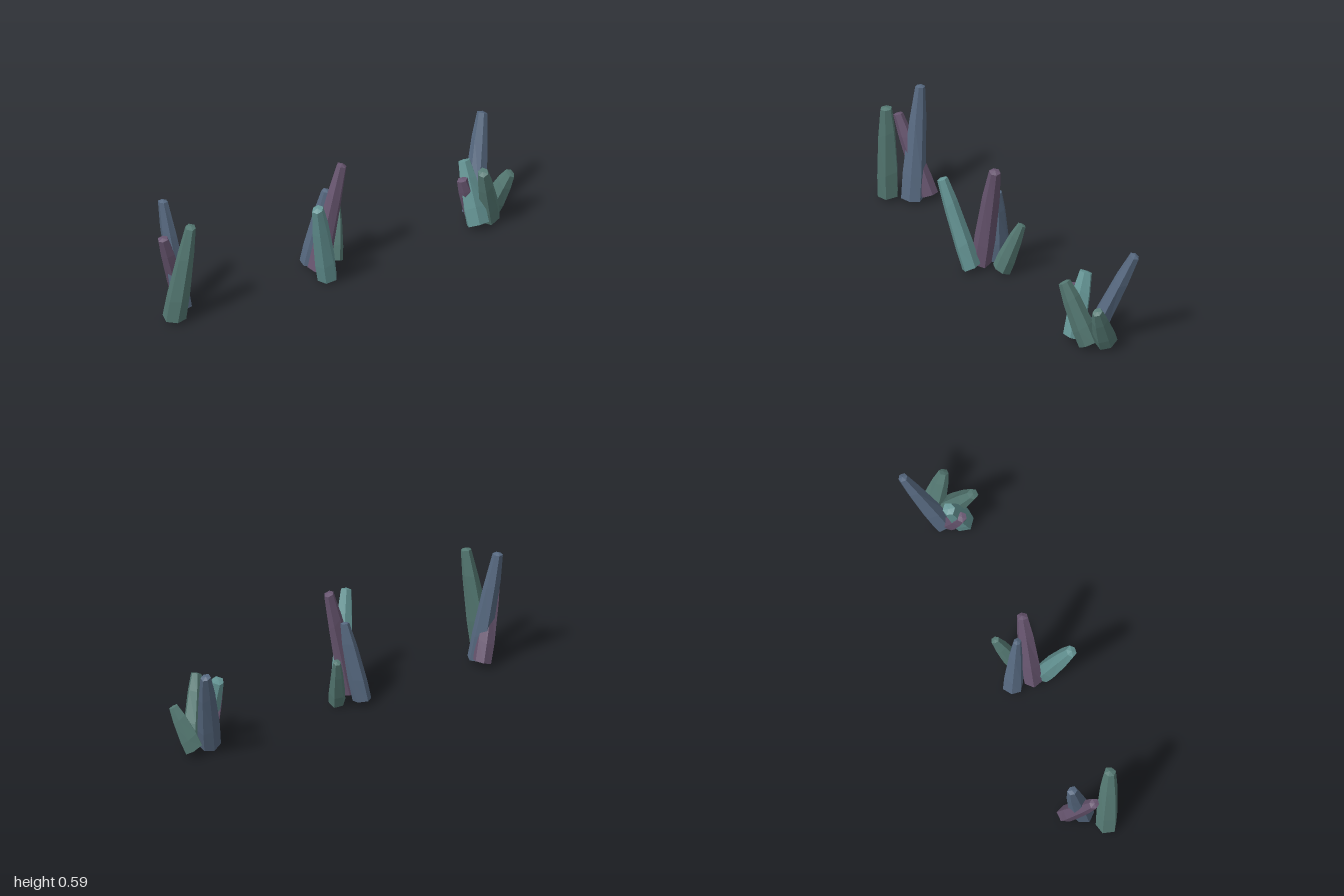
import * as THREE from 'three';

const COLORS = { teal: 0x659595, green: 0x547872, blue: 0x56687f, purple: 0x67556f };
const UP = new THREE.Vector3(0, 1, 0);

// A tapering six-sided shard running from the base centre to the tip centre.
function crystal(color, base, tip, rBase, rTip, seed) {
  const a = new THREE.Vector3(...base);
  const axis = new THREE.Vector3(...tip).sub(a);
  const len = axis.length();
  const mid = (t) => THREE.MathUtils.lerp(rBase, rTip, t);
  const profile = [
    [0, 0], [rBase * 0.92, 0], [mid(0.22) * 1.04, len * 0.25],
    [mid(0.62) * 1.06, len * 0.7], [rTip, len * 0.985], [0, len],
  ].map(([r, y]) => new THREE.Vector2(r, y));
  const geo = new THREE.LatheGeometry(profile, 6, seed);

  // Uneven facets: radius and height vary smoothly around the axis.
  const p = geo.attributes.position;
  for (let i = 0; i < p.count; i++) {
    const x = p.getX(i), y = p.getY(i), z = p.getZ(i);
    const angle = Math.atan2(z, x);
    const r = Math.hypot(x, z);
    const k = 1 + 0.09 * Math.sin(2 * angle + seed * 1.7 + y * 4);
    const inner = y > len * 0.1 && y < len * 0.9 ? len * 0.05 : r * 0.12;
    p.setXYZ(i, x * k, y + (r > 1e-5 ? inner * Math.sin(angle + seed * 2.3) : 0), z * k);
  }
  geo.computeVertexNormals();

  const mesh = new THREE.Mesh(geo, new THREE.MeshStandardMaterial({ color: COLORS[color], flatShading: true }));
  mesh.name = color + 'Crystal';
  mesh.position.copy(a);
  mesh.quaternion.setFromUnitVectors(UP, axis.normalize());
  return mesh;
}

// Each row: color, base centre, tip centre, base radius, tip radius
const CLUSTERS = {
  rightCluster: [
    ['green', [-0.93, 0.025, 0.1], [-0.865, 0.545, 0.147], 0.062, 0.028],
    ['blue', [-0.84, 0.02, 0.015], [-0.905, 0.592, -0.067], 0.058, 0.024],
    ['purple', [-0.815, 0.03, -0.06], [-0.957, 0.44, 0.03], 0.05, 0.026],
  ],
  middleCluster: [
    ['teal', [-0.095, 0.02, 0.11], [-0.203, 0.488, 0.213], 0.055, 0.028],
    ['purple', [-0.11, 0.03, 0.045], [0.023, 0.587, 0.045], 0.055, 0.027],
    ['green', [0.005, 0.022, 0.0], [0.063, 0.275, -0.083], 0.048, 0.02],
    ['blue', [-0.105, 0.02, -0.055], [-0.037, 0.432, -0.005], 0.053, 0.02],
  ],
  leftCluster: [
    ['blue', [0.8, 0.025, -0.055], [0.937, 0.485, -0.215], 0.056, 0.025],
    ['teal', [0.775, 0.03, 0.04], [0.745, 0.352, -0.05], 0.062, 0.032],
    ['green', [0.865, 0.025, 0.0], [0.775, 0.347, 0.09], 0.057, 0.028],
    ['green', [0.905, 0.035, -0.07], [0.968, 0.248, 0.015], 0.058, 0.025],
    ['purple', [0.79, 0.03, -0.025], [0.705, 0.282, 0.005], 0.046, 0.025],
  ],
};

export function createModel() {
  const model = new THREE.Group();
  model.name = 'crystalClusters';
  let seed = 0;
  for (const [name, shards] of Object.entries(CLUSTERS)) {
    const cluster = new THREE.Group();
    cluster.name = name;
    for (const shard of shards) cluster.add(crystal(...shard, (seed += 0.9)));
    model.add(cluster);
  }
  return model;
}
